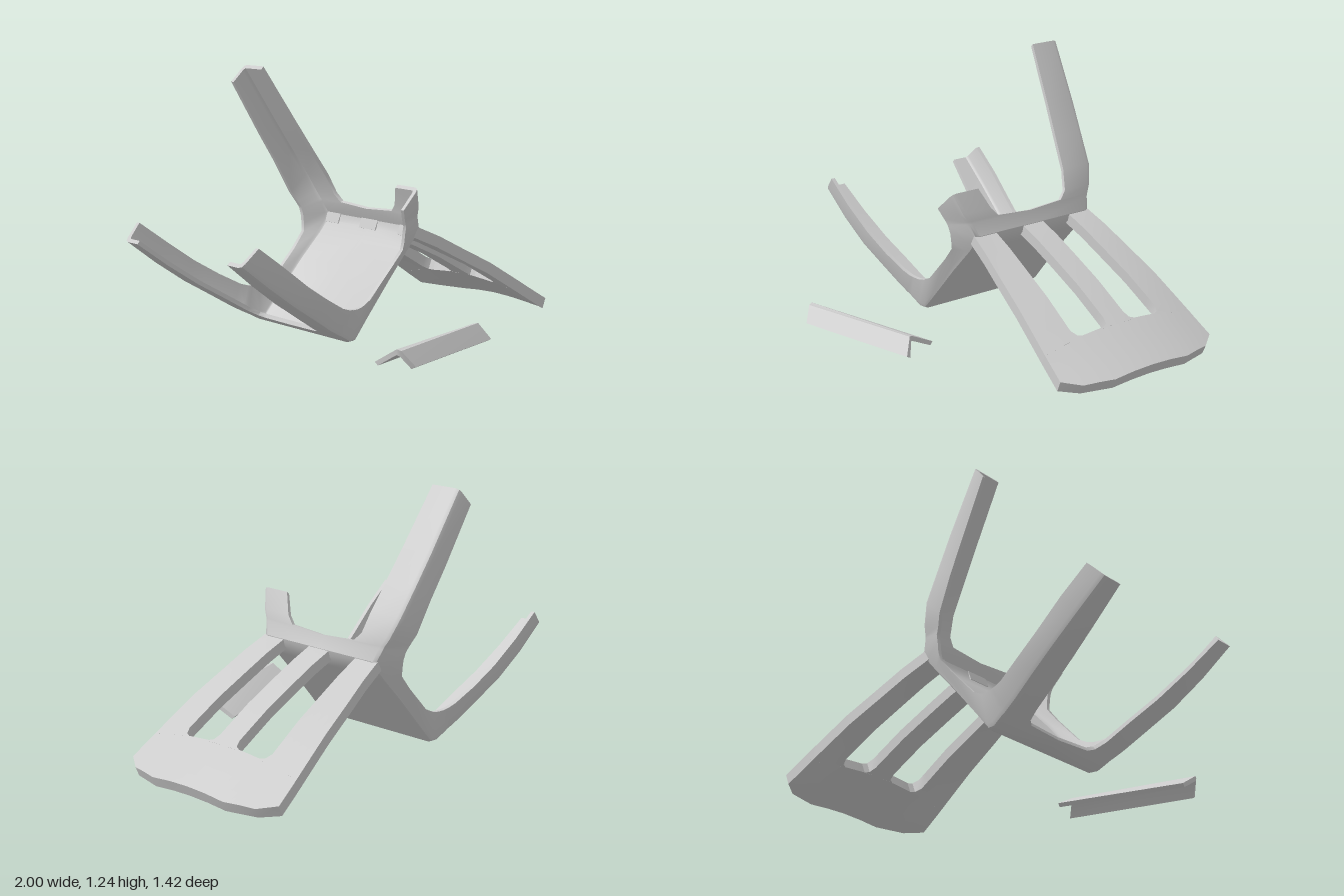
import * as THREE from 'three';
import { toCreasedNormals } from 'three/addons/utils/BufferGeometryUtils.js';

const material = new THREE.MeshStandardMaterial({ color: 0xcccccc, side: THREE.DoubleSide });
const MID = -0.225; // z of the chair's plane of symmetry
const WALL = 0.02;  // thickness of the moulded shell

// Closed solid between two equal grids of points (outer and inner skin).
function shell(name, outer, inner, crease = 0.6) {
  const rows = outer.length, cols = outer[0].length, n = rows * cols;
  const pos = [...outer.flat(), ...inner.flat()].flatMap(p => [p.x, p.y, p.z]);
  const idx = [];
  const quad = (a, b, c, d) => idx.push(a, b, c, a, c, d);
  const at = (i, j) => i * cols + j;
  for (let i = 0; i < rows - 1; i++) {
    for (let j = 0; j < cols - 1; j++) {
      const a = at(i, j), b = at(i, j + 1), c = at(i + 1, j + 1), d = at(i + 1, j);
      quad(a, b, c, d);
      quad(n + d, n + c, n + b, n + a);
    }
    const l = at(i, 0), l2 = at(i + 1, 0), r = at(i, cols - 1), r2 = at(i + 1, cols - 1);
    quad(l, l2, n + l2, n + l);
    quad(r2, r, n + r, n + r2);
  }
  for (let j = 0; j < cols - 1; j++) {
    const a = at(0, j), b = at(0, j + 1), c = at(rows - 1, j), d = at(rows - 1, j + 1);
    quad(b, a, n + a, n + b);
    quad(c, d, n + d, n + c);
  }
  // turn the faces outwards when the grid was wound the other way (mirrored sides)
  const v = k => new THREE.Vector3().fromArray(pos, k * 3);
  let volume = 0;
  for (let k = 0; k < idx.length; k += 3) volume += v(idx[k]).dot(v(idx[k + 1]).cross(v(idx[k + 2])));
  if (volume < 0) idx.reverse();
  const g = new THREE.BufferGeometry();
  g.setAttribute('position', new THREE.Float32BufferAttribute(pos, 3));
  g.setIndex(idx);
  const mesh = new THREE.Mesh(toCreasedNormals(g, crease), material);
  mesh.name = name;
  return mesh;
}

// Piecewise linear lookup in [[x, y], ...].
function lerpTable(table, x) {
  let k = 1;
  while (k < table.length - 1 && x > table[k][0]) k++;
  const [x0, y0] = table[k - 1], [x1, y1] = table[k];
  return y0 + (y1 - y0) * (x - x0) / (x1 - x0);
}

// Stations of half the frame: corner x, y; rim x, y; half widths of inner edge, corner and rim.
const frontLeg = [
  [-1.00, 0.46, -0.92, 0.54, 0.35, 0.455, 0.47],
  [-0.85, 0.345, -0.775, 0.435, 0.325, 0.45, 0.465],
  [-0.70, 0.24, -0.63, 0.33, 0.295, 0.435, 0.447],
  [-0.57, 0.16, -0.50, 0.25, 0.265, 0.41, 0.425],
  [-0.45, 0.085, -0.39, 0.19, 0.24, 0.385, 0.40],
  [-0.40, 0.058, -0.345, 0.175, 0.22, 0.375, 0.392],
];
const seat = [
  [-0.38, 0.048, -0.325, 0.172, 0.19, 0.37, 0.388],
  [-0.37, 0.043, -0.315, 0.17, 0, 0.37, 0.386],
  [-0.31, 0.01, -0.285, 0.168, 0, 0.36, 0.378],
  [-0.275, 0.01, -0.25, 0.175, 0, 0.355, 0.374],
  [-0.20, 0.095, -0.20, 0.20, 0, 0.35, 0.37],
  [-0.04, 0.275, -0.07, 0.335, 0, 0.345, 0.372],
  [0.08, 0.405, -0.005, 0.41, 0, 0.34, 0.378],
  [0.13, 0.465, 0, 0.45, 0, 0.342, 0.385],
  [0.14, 0.50, 0, 0.49, 0, 0.348, 0.39],
  [0.115, 0.56, -0.002, 0.525, 0, 0.365, 0.40],
];
const backLegRoot = [
  [0.112, 0.572, -0.008, 0.537, 0.19, 0.37, 0.402],
  [0.10, 0.61, -0.02, 0.56, 0.225, 0.39, 0.41],
  [0.06, 0.705, -0.045, 0.61, 0.245, 0.42, 0.43],
];
const backLeg = [
  [-0.025, 0.84, -0.12, 0.76, 0.265, 0.437, 0.447],
  [-0.11, 0.977, -0.2, 0.90, 0.285, 0.453, 0.463],
  [-0.28, 1.25, -0.35, 1.17, 0.32, 0.475, 0.487],
];

// Half frame: leg wings, seat and side apron swept as one angled sheet.
function halfFrame(name, stations, side) {
  const outer = [], inner = [];
  for (const [px, py, qx, qy, a, w, wq] of stations) {
    const len = Math.hypot(qx - px, qy - py), dx = (qx - px) / len, dy = (qy - py) / len;
    const point = (depth, half) => new THREE.Vector3(px + dx * depth, py + dy * depth, MID + side * half);
    const r = 0.025;
    outer.push([point(0, a), point(0, w - r), point(r * 0.3, w - r * 0.3), point(r, w), point(len, wq)]);
    inner.push([point(WALL, a), point(WALL, w - r - 0.005), point(WALL + 0.005, w - r),
      point(r + 0.01, w - WALL), point(len, wq - WALL)]);
  }
  return shell(name, outer, inner);
}

// Backrest surface: sloping curve whose sides droop forwards.
const backCurve = [[0.12, 0.505], [0.25, 0.457], [0.38, 0.4], [0.55, 0.322], [0.77, 0.2], [1, 0.07]];
const droop = [[0.12, 0], [0.4, 0.035], [0.8, 0.055], [1, 0.06]];
const outline = [[0.12, 0.343], [0.5, 0.4], [0.77, 0.435], [0.9, 0.45]];
const endCurve = [[0, 1], [0.215, 1], [0.37, 0.96], [0.45, 0.9]];
function backPoint(x, h) {
  const y = lerpTable(backCurve, x) - lerpTable(droop, x) * (h / 0.45) ** 2;
  return new THREE.Vector3(x, y, MID + h);
}
const backInner = p => new THREE.Vector3(p.x - 0.02, Math.max(p.y - 0.05, 0.008), p.z);

// Slat running along the back between two edge functions of x.
function slat(name, low, high) {
  const grid = [0.12, 0.25, 0.38, 0.55, 0.68, 0.73, 0.76, 0.775].map(x =>
    [0, 0.25, 0.5, 0.75, 1].map(t => backPoint(x, low(x) + (high(x) - low(x)) * t)));
  return shell(name, grid, grid.map(row => row.map(backInner)));
}

export function createModel() {
  const model = new THREE.Group();
  model.name = 'brokenChair';

  // frame, with one back leg snapped off short
  const frame = new THREE.Group();
  frame.name = 'frame';
  const stub = backLegRoot.map(s => [...s]);
  stub[2][4] = 0.27;
  frame.add(
    halfFrame('wholeSide', [...frontLeg, ...seat, ...backLegRoot, ...backLeg], -1),
    halfFrame('snappedSide', [...frontLeg, ...seat, ...stub], 1));
  model.add(frame);

  // backrest: three slats joined by a wide top panel
  const back = new THREE.Group();
  back.name = 'backrest';
  const edge = x => lerpTable(outline, x);
  const slotOuter = x => lerpTable([[0.12, 0.22], [0.73, 0.255], [0.76, 0.24], [0.775, 0.205]], x);
  const slotInner = x => lerpTable([[0.12, 0.06], [0.73, 0.06], [0.76, 0.07], [0.775, 0.105]], x);
  back.add(
    slat('leftSlat', slotOuter, edge),
    slat('middleSlat', x => -slotInner(x), slotInner),
    slat('rightSlat', x => -edge(x), x => -slotOuter(x)));
  const across = [-1, -0.82, -0.65, -0.48, -0.24, 0, 0.24, 0.48, 0.65, 0.82, 1];
  const panel = [0, 0.25, 0.5, 0.75, 1].map(t => across.map(u => {
    const end = lerpTable(endCurve, Math.abs(u) * 0.45);
    const x = 0.77 + (end - 0.77) * t;
    return backPoint(x, u * (0.435 + 0.015 * Math.min(1, t)));
  }));
  back.add(shell('topPanel', panel, panel.map(row => row.map(backInner))));
  model.add(back);

  // snapped piece of the leg lying on the floor, an angle section with its ridge up
  const V = (x, y, z) => new THREE.Vector3(x, y, z);
  const outer = [
    [V(0.11, 0.025, 0.35), V(0.135, 0.095, 0.485), V(0.148, 0.1, 0.505), V(0.19, 0.025, 0.55)],
    [V(-0.5, 0.025, 0.52), V(-0.485, 0.1, 0.645), V(-0.475, 0.095, 0.665), V(-0.43, 0.025, 0.71)],
  ];
  const shift = [[0.004, -0.015, 0.016], [0, -0.025, 0], [0, -0.027, -0.008], [-0.006, -0.012, -0.022]];
  const inner = outer.map(row => row.map((p, j) => p.clone().add(V(...shift[j]))));
  model.add(shell('brokenLegPiece', outer, inner));

  return model;
}
